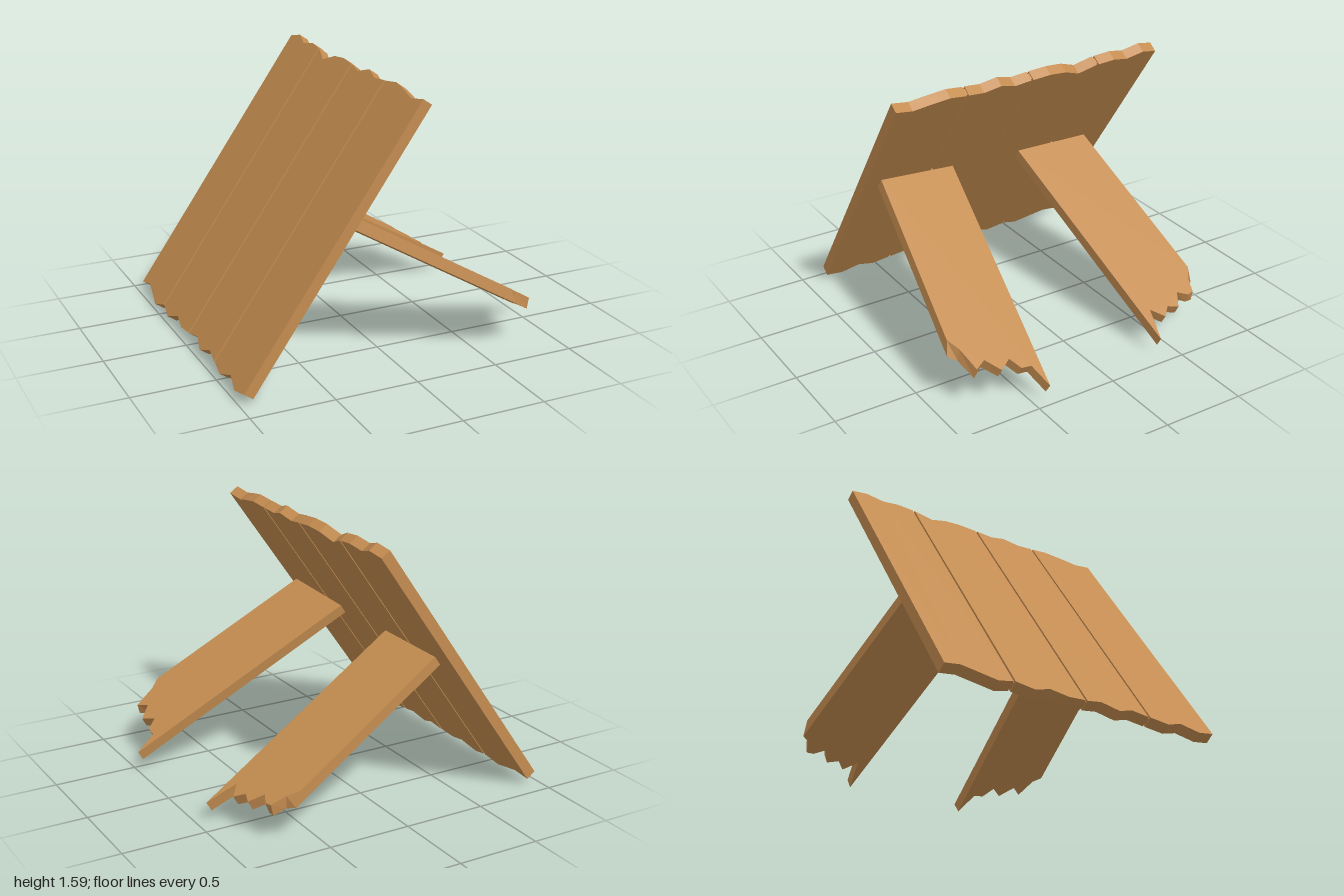
import * as THREE from 'three';

const THICK = 0.064;
const wood = new THREE.MeshStandardMaterial({ color: 0xc48c50 });
wood.name = 'wood';

// Flat slab cut from an outline; its outer face lies on local z = 0
function slab(name, points, depth = THICK, top = 0) {
  const shape = new THREE.Shape(points.map(([x, y]) => new THREE.Vector2(x, y)));
  const geo = new THREE.ExtrudeGeometry(shape, { depth, bevelEnabled: false });
  geo.translate(0, 0, top - depth);
  const mesh = new THREE.Mesh(geo, wood);
  mesh.name = name;
  return mesh;
}

// Orient a group so local y runs along a direction and local x lies near another
function orient(group, origin, along, across) {
  const y = new THREE.Vector3(...along).normalize();
  const x = new THREE.Vector3(...across);
  x.addScaledVector(y, -x.dot(y)).normalize();
  const z = new THREE.Vector3().crossVectors(x, y);
  group.quaternion.setFromRotationMatrix(new THREE.Matrix4().makeBasis(x, y, z));
  group.position.set(...origin);
}

// Leaning panel of four planks with broken ends and narrow grooves between
function createPanel() {
  const panel = new THREE.Group();
  panel.name = 'panel';
  const tilt = THREE.MathUtils.degToRad(55);
  const rise = Math.sin(tilt);
  const seams = [0.86, 0.41, -0.015, -0.47, -0.89];
  const topY = [1.54, 1.52, 1.54, 1.555, 1.54, 1.53, 1.555, 1.525, 1.54,
    1.55, 1.54, 1.5, 1.54, 1.55, 1.53, 1.56, 1.54];
  const bottomY = [0.035, 0.015, 0.05, 0.015, 0.035, 0.055, 0.02, 0.055, 0.035,
    0.025, 0.05, 0.01, 0.035, 0.004, 0.03, 0.055, 0.035];
  const gap = 0.007;
  for (let p = 0; p < 4; p++) {
    const left = -seams[p] + (p > 0 ? gap : 0);
    const right = -seams[p + 1] - (p < 3 ? gap : 0);
    const lower = [], upper = [];
    for (let i = 0; i <= 4; i++) {
      const x = left + (right - left) * i / 4;
      lower.push([x, bottomY[p * 4 + i] / rise]);
      upper.unshift([x, topY[p * 4 + i] / rise]);
    }
    panel.add(slab('plank', [...lower, ...upper]));
    // Recessed strip closing the groove
    if (p < 3) {
      const a = right - 0.002, b = right + 2 * gap + 0.002;
      const lo = 0.04 / rise, hi = 1.535 / rise;
      panel.add(slab('groove', [[a, lo], [b, lo], [b, hi], [a, hi]], 0.04, -0.012));
    }
  }
  orient(panel, [-0.948, 0, 0], [Math.cos(tilt), rise, 0], [0, 0, -1]);
  return panel;
}

// Support board with a splintered free end; side is +1 or -1 along z
function createBrace(name, side, origin, along, across, tip) {
  const brace = new THREE.Group();
  brace.name = name;
  const outline = [[0, -0.03], ...tip, [0.5, 0.03]].map(([x, y]) => [x * side, y]);
  const board = slab('board', outline);
  // The break leans outwards on the underside of the outer edge
  const pos = board.geometry.attributes.position;
  for (let i = 0; i < pos.count; i++) {
    if (pos.getZ(i) < -0.01 && pos.getY(i) > 1) {
      pos.setY(i, pos.getY(i) + 0.07 * Math.pow(Math.abs(pos.getX(i)) / 0.5, 6));
    }
  }
  board.geometry.computeVertexNormals();
  brace.add(board);
  orient(brace, origin, along, across);
  return brace;
}

export function createModel() {
  const model = new THREE.Group();
  model.name = 'brokenPlankPanel';
  model.add(createPanel());
  model.add(createBrace('frontBrace', 1, [-0.32, 0.895, 0.26], [1.32, -0.765, 0.17], [0.034, 0.05, 0.5],
    [[0, 1.535], [0.061, 1.397], [0.126, 1.4], [0.178, 1.332], [0.248, 1.393],
      [0.329, 1.315], [0.394, 1.364], [0.448, 1.226], [0.5, 1.16]]));
  model.add(createBrace('rearBrace', -1, [-0.339, 0.87, -0.22], [1.279, -0.75, -0.165], [0.011, 0.015, 0.51],
    [[0, 1.492], [0.066, 1.303], [0.128, 1.381], [0.188, 1.33], [0.251, 1.363],
      [0.31, 1.277], [0.367, 1.32], [0.412, 1.314], [0.447, 1.225], [0.5, 1.162]]));
  return model;
}
